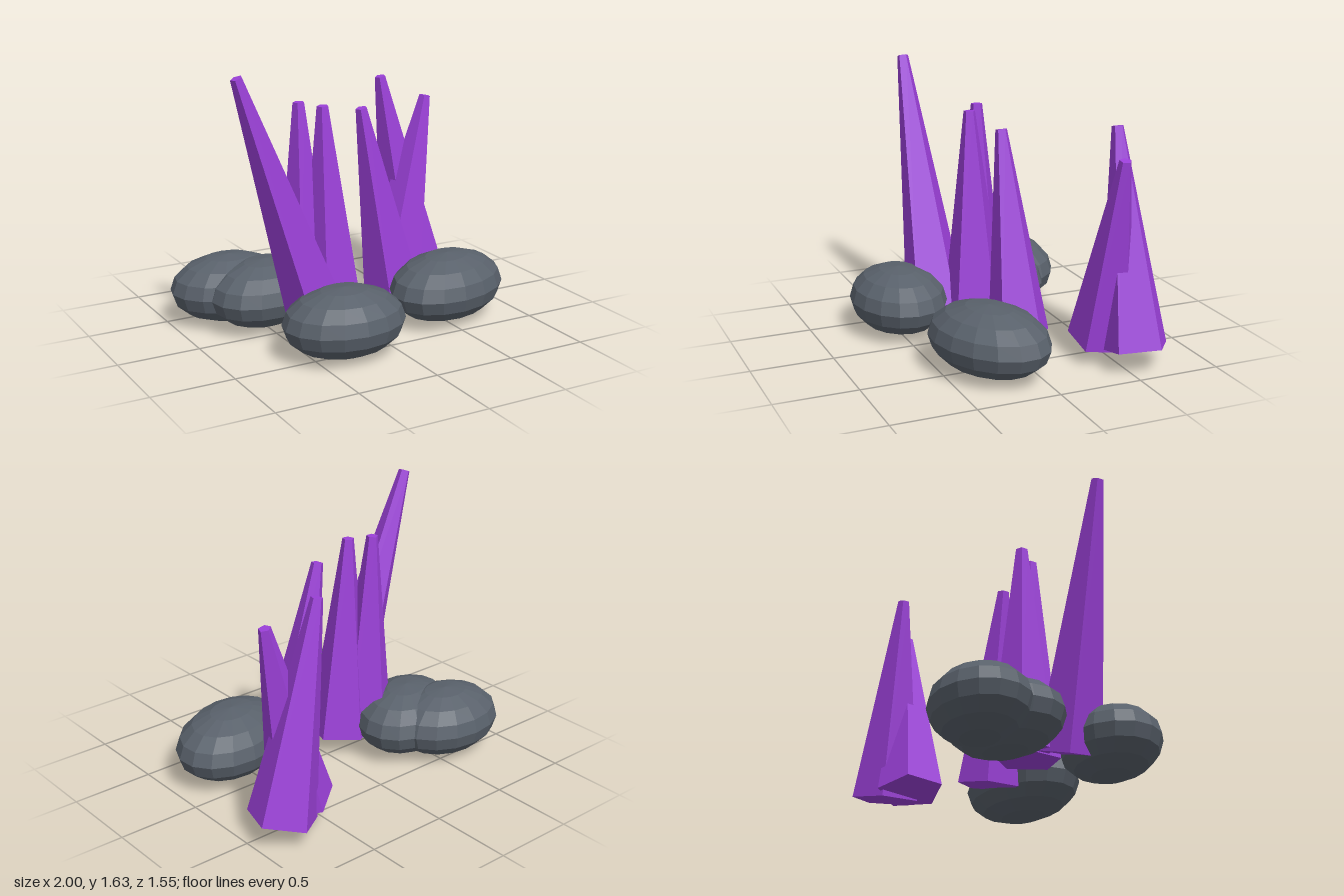
import * as THREE from 'three';

export function createModel() {
  const group = new THREE.Group();
  const crystalPurple = new THREE.MeshStandardMaterial({ color: 0x9b40d8, flatShading: true });
  crystalPurple.name = 'crystalPurple';
  const stoneGrey = new THREE.MeshStandardMaterial({ color: 0x59616b, flatShading: true });
  stoneGrey.name = 'stoneGrey';

  // Flattened boulders: centre x, centre z, half length, half depth, turn in degrees
  const boulders = [
    [-0.63, -0.39, 0.37, 0.285, 0],
    [-0.475, -0.2, 0.385, 0.29, 24],
    [-0.305, 0.485, 0.375, 0.29, 0],
    [0.55, 0.24, 0.42, 0.295, 20],
  ];
  const ball = new THREE.SphereGeometry(1, 16, 8);
  boulders.forEach(([x, z, a, b, turn], i) => {
    const rock = new THREE.Mesh(ball, stoneGrey);
    rock.name = `boulder${i + 1}`;
    rock.position.set(x, 0.213, z);
    rock.scale.set(a, 0.207, b);
    rock.rotation.y = THREE.MathUtils.degToRad(turn);
    group.add(rock);
  });

  // Five-sided leaning crystals: base centre, tip centre, base radius
  const crystals = [
    [[-0.31, 0.12, 0.23], [-0.835, 1.627, 0.24], 0.2],
    [[-0.27, 0.12, -0.035], [-0.312, 1.392, -0.048], 0.19],
    [[-0.14, 0.12, 0.04], [-0.203, 1.375, 0.045], 0.2],
    [[0.345, 0.125, -0.045], [0.1, 1.317, -0.032], 0.19],
    [[0.8, 0.125, -0.57], [0.542, 1.382, -0.563], 0.21],
    [[0.59, 0.125, -0.465], [0.822, 1.248, -0.465], 0.203],
  ];
  const up = new THREE.Vector3(0, 1, 0);
  crystals.forEach(([base, tip, radius], i) => {
    const from = new THREE.Vector3(...base);
    const axis = new THREE.Vector3(...tip).sub(from);
    const length = axis.length();
    const geometry = new THREE.CylinderGeometry(0.036, radius, length, 5, 1, false, Math.PI);
    const crystal = new THREE.Mesh(geometry, crystalPurple);
    crystal.name = `crystal${i + 1}`;
    crystal.position.copy(from).addScaledVector(axis, 0.5);
    crystal.quaternion.setFromUnitVectors(up, axis.normalize());
    group.add(crystal);
  });

  return group;
}
